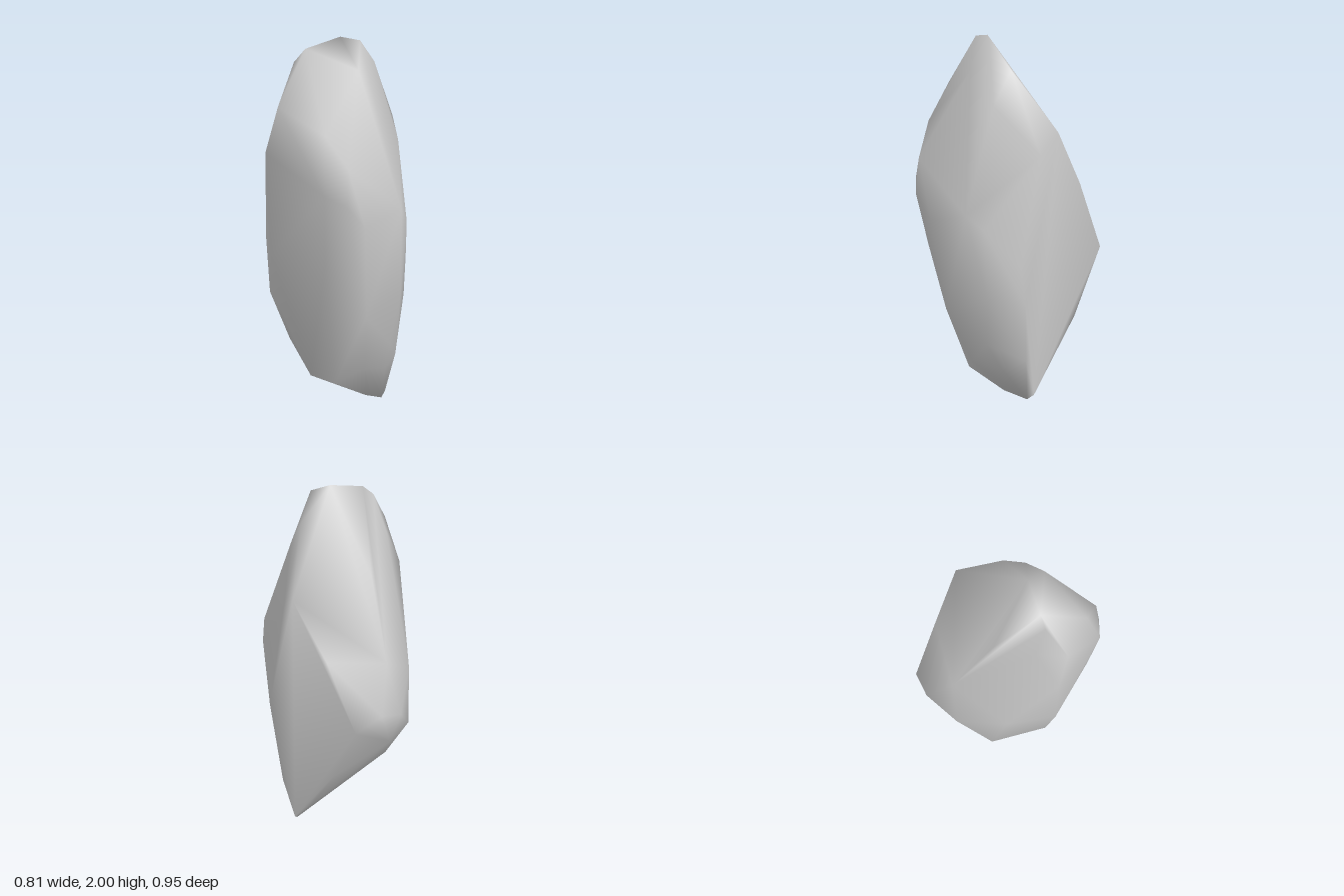
import * as THREE from 'three';
import { ConvexGeometry } from 'three/addons/geometries/ConvexGeometry.js';
import { mergeVertices } from 'three/addons/utils/BufferGeometryUtils.js';

// Corners of the rock, grouped by region
const CORNERS = [
  // Peak and the ridge sloping down to the front-right side
  [0.04, 2, 0.09], [0.14, 1.98, 0.05], [-0.12, 1.94, 0.2], [-0.17, 1.87, 0.24],
  [0.17, 1.85, -0.08], [0.17, 1.83, 0.15], [-0.21, 1.64, 0.375], [-0.25, 1.66, 0.2],
  [0.24, 1.66, 0],
  // Shoulder
  [-0.295, 1.38, 0.345], [0.08, 1.5, 0.41], [0.22, 1.33, 0.425],
  [0.17, 1.52, -0.345], [0.235, 1.4, -0.265], [-0.21, 1.52, -0.04],
  // Belly
  [0.395, 1, 0.01], [0.405, 1.08, 0.11], [0.285, 1, 0.34], [0.22, 1.12, 0.44],
  [0.1, 1.18, 0.475], [0.08, 0.8, 0.41], [-0.27, 0.82, 0.32], [-0.345, 1.1, 0.05],
  [-0.395, 0.87, 0.08], [-0.4, 0.75, -0.2], [-0.33, 0.85, -0.385], [-0.2, 0.78, -0.475],
  [-0.03, 1.18, -0.41], [-0.33, 1.1, -0.24], [0.315, 0.78, -0.175], [0.27, 0.75, 0.3],
  // Lower flanks
  [-0.405, 0.57, 0], [-0.34, 0.57, -0.2], [0.295, 0.57, -0.195], [0.355, 0.6, 0],
  [0.26, 0.5, 0.26], [-0.24, 0.52, 0.255], [-0.06, 0.42, -0.37], [0.3, 0.33, 0.02],
  [-0.27, 0.33, 0.05], [0.25, 0.24, -0.185],
  // Foot
  [-0.08, 0.16, 0.22], [0.05, 0.12, 0.19], [0.2, 0.2, 0.13], [0.08, 0.15, -0.255],
  [0.245, 0.18, -0.05], [0.14, 0.03, -0.03], [0.18, 0.03, -0.21], [0.175, 0, -0.17],
];

export function createModel() {
  const hull = new ConvexGeometry(CORNERS.map((corner) => new THREE.Vector3(...corner)));

  // Shared corners give smooth shading
  hull.deleteAttribute('normal');
  const geometry = mergeVertices(hull);
  geometry.computeVertexNormals();

  const rock = new THREE.Mesh(geometry, new THREE.MeshStandardMaterial({ color: 0xcccccc }));
  rock.name = 'rock';

  const group = new THREE.Group();
  group.name = 'standingRock';
  group.add(rock);
  return group;
}
